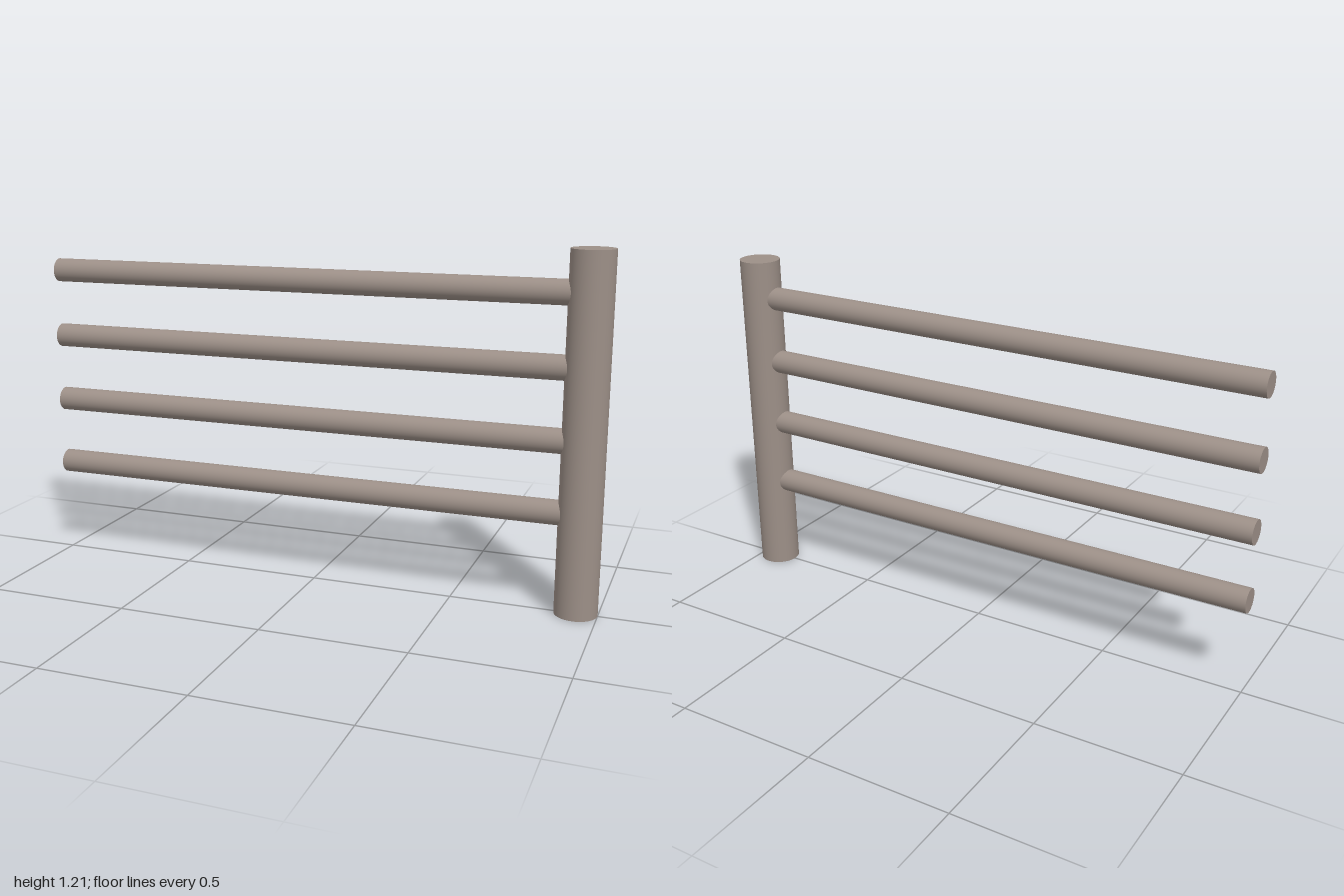
import * as THREE from 'three';

export function createModel() {
  const model = new THREE.Group();
  model.name = 'railFence';

  const wood = new THREE.MeshStandardMaterial({ color: 0x9c8f87 });
  wood.name = 'weathered wood';

  const postRadius = 0.072;
  const postHeight = 1.205;
  const postX = 1 - postRadius;

  // Upright round post at the left end
  const post = new THREE.Mesh(
    new THREE.CylinderGeometry(postRadius, postRadius, postHeight, 48), wood);
  post.name = 'post';
  post.position.set(postX, postHeight / 2, 0);
  model.add(post);

  // Four evenly spaced round rails, running from the free end into the post
  const railLength = postX + 1;
  const railGeometry = new THREE.CylinderGeometry(0.042, 0.042, railLength, 32);
  railGeometry.rotateZ(Math.PI / 2);
  for (let i = 0; i < 4; i++) {
    const rail = new THREE.Mesh(railGeometry, wood);
    rail.name = `rail${i + 1}`;
    rail.position.set(-1 + railLength / 2, 0.342 + i * 0.241, 0);
    model.add(rail);
  }

  return model;
}
